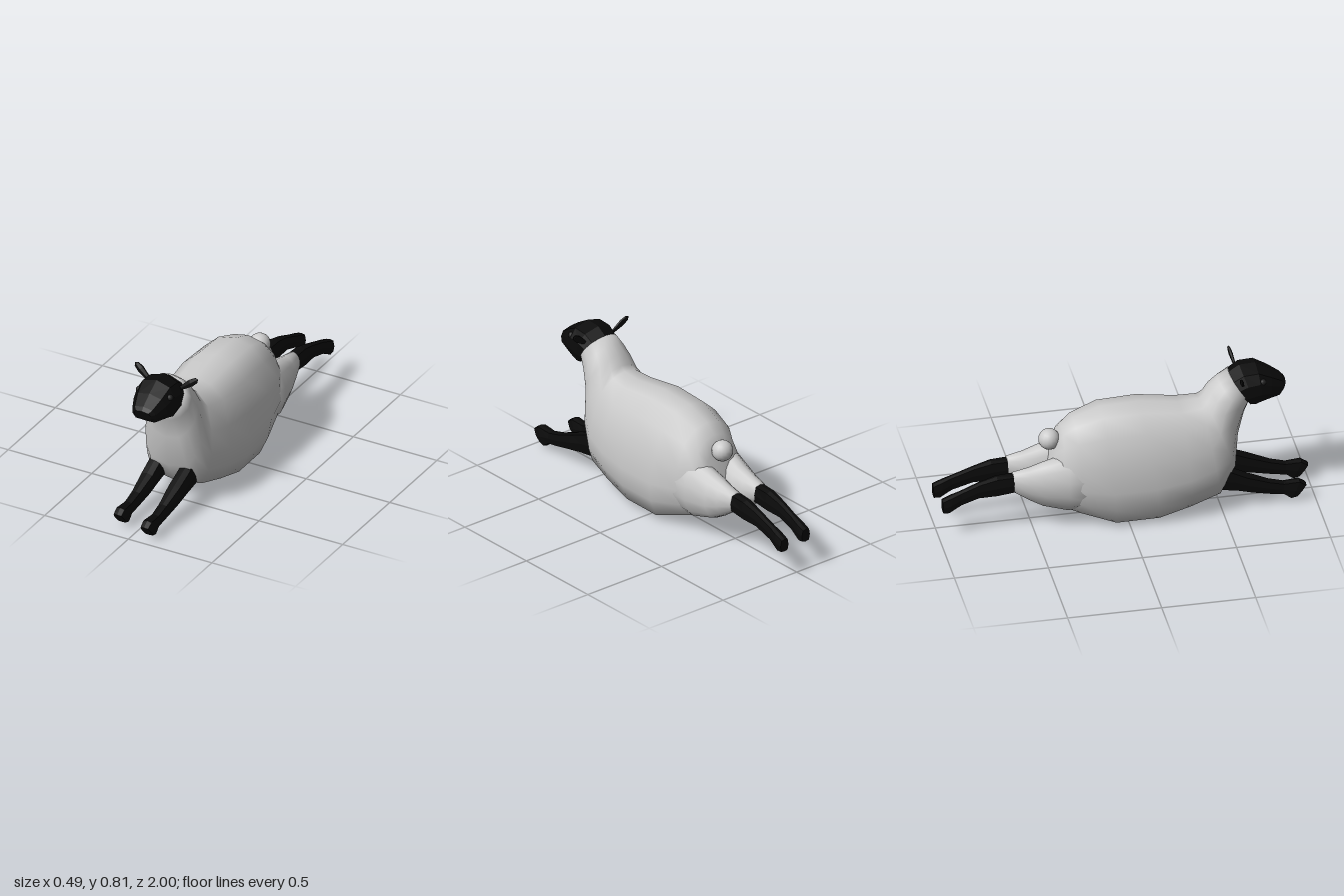
import * as THREE from 'three';

const wool = new THREE.MeshStandardMaterial({ color: 0xcccccc });
const black = new THREE.MeshStandardMaterial({ color: 0x0a0a0a, flatShading: true });
const eyeDark = new THREE.MeshStandardMaterial({ color: 0x222222 });

// Half outlines of a cross-section from bottom to top: [width fraction, height fraction]
const BARREL = [[0, 0], [0.76, 0.045], [0.94, 0.2], [1, 0.37], [0.93, 0.6], [0.75, 0.85], [0.4, 0.97], [0, 1]];
const ROUND = [[0, 0], [0.38, 0.04], [0.71, 0.15], [0.97, 0.37], [0.97, 0.63], [0.71, 0.85], [0.38, 0.96], [0, 1]];
const SKULL = [[0, 0], [0.78, 0.02], [1, 0.3], [0.98, 0.62], [0.72, 0.88], [0, 1]];
const LEG = [[0, 0], [0.8, 0.06], [1, 0.5], [0.75, 0.94], [0, 1]];

// Skin over sections listed from back to front:
// [centre x, half width, bottom z, bottom y, top z, top y, blend from outline A to B]
function loft(sections, outlineA, outlineB = outlineA) {
  const pos = [], index = [];
  const half = outlineA.length, n = 2 * half - 2;
  for (const [x, w, bz, by, tz, ty, blend = 0] of sections) {
    for (let j = 0; j < n; j++) {
      const k = j < half ? j : n - j, side = j < half ? 1 : -1;
      const u = THREE.MathUtils.lerp(outlineA[k][0], outlineB[k][0], blend);
      const v = THREE.MathUtils.lerp(outlineA[k][1], outlineB[k][1], blend);
      pos.push(x + side * w * u, by + (ty - by) * v, bz + (tz - bz) * v);
    }
  }
  for (let i = 0; i < sections.length - 1; i++) {
    for (let j = 0; j < n; j++) {
      const a = i * n + j, b = i * n + (j + 1) % n;
      index.push(a, b, b + n, a, b + n, a + n);
    }
  }
  // End caps
  for (const last of [false, true]) {
    const [x, , bz, by, tz, ty] = sections[last ? sections.length - 1 : 0];
    const base = last ? (sections.length - 1) * n : 0, c = pos.length / 3;
    pos.push(x, (by + ty) / 2, (bz + tz) / 2);
    for (let j = 0; j < n; j++) {
      const a = base + j, b = base + (j + 1) % n;
      index.push(c, last ? a : b, last ? b : a);
    }
  }
  const g = new THREE.BufferGeometry();
  g.setAttribute('position', new THREE.Float32BufferAttribute(pos, 3));
  g.setIndex(index);
  g.computeVertexNormals();
  return g;
}

export function createModel() {
  const model = new THREE.Group();
  model.name = 'sheep';
  const add = (name, geometry, material, x = 0, y = 0, z = 0) => {
    const mesh = new THREE.Mesh(geometry, material);
    mesh.name = name;
    mesh.position.set(x, y, z);
    model.add(mesh);
    return mesh;
  };

  // Woolly body sweeping up into the neck
  add('body', loft([
    [0, 0.11, -0.45, 0.16, -0.36, 0.48, 0.8],
    [0, 0.16, -0.38, 0.11, -0.33, 0.545, 0.5],
    [0, 0.205, -0.25, 0.065, -0.27, 0.592, 0.2],
    [0, 0.24, -0.07, 0.005, -0.13, 0.645],
    [0, 0.246, 0.16, 0.01, 0.08, 0.652],
    [0, 0.228, 0.33, 0.055, 0.29, 0.622],
    [0, 0.195, 0.49, 0.10, 0.40, 0.627],
    [0, 0.168, 0.58, 0.24, 0.425, 0.65, 0.3],
    [0, 0.145, 0.60, 0.42, 0.455, 0.70, 0.7],
    [0, 0.13, 0.635, 0.54, 0.50, 0.74, 1],
    [0, 0.115, 0.665, 0.61, 0.555, 0.777, 1],
  ], BARREL, ROUND), wool);

  add('tail', new THREE.SphereGeometry(0.057, 16, 12), wool, 0, 0.478, -0.395);

  // Faceted head with muzzle
  add('head', loft([
    [0, 0.108, 0.66, 0.607, 0.555, 0.768],
    [0, 0.115, 0.685, 0.607, 0.615, 0.808],
    [0, 0.113, 0.72, 0.62, 0.70, 0.812],
    [0, 0.098, 0.765, 0.627, 0.775, 0.768],
    [0, 0.072, 0.82, 0.63, 0.84, 0.722],
    [0, 0.05, 0.838, 0.65, 0.857, 0.702],
  ], SKULL), black);

  const earProfile = [[0.01, 0], [0.016, 0.03], [0.022, 0.075], [0.016, 0.11], [0, 0.122]]
    .map(([r, h]) => new THREE.Vector2(r, h));

  for (const s of [1, -1]) {
    const side = s > 0 ? 'left' : 'right';

    add(side + 'Eye', new THREE.SphereGeometry(0.019, 12, 8), eyeDark, s * 0.09, 0.742, 0.722);

    const ear = add(side + 'Ear', new THREE.LatheGeometry(earProfile, 6), black, s * 0.09, 0.742, 0.612);
    ear.rotation.set(-0.25, 0, -s * 0.92);
    ear.scale.z = 0.5;

    // Haunch stretched backwards
    add(side + 'Haunch', loft([
      [s * 0.082, 0.043, -0.6, 0.23, -0.605, 0.345],
      [s * 0.084, 0.064, -0.52, 0.175, -0.52, 0.362],
      [s * 0.086, 0.082, -0.45, 0.135, -0.45, 0.385],
      [s * 0.098, 0.1, -0.32, 0.1, -0.32, 0.428],
      [s * 0.105, 0.105, -0.18, 0.12, -0.2, 0.42],
    ], ROUND), wool);

    // Back leg, one hoof trailing a little further
    const b = s > 0 ? 0 : 0.018;
    add(side + 'BackLeg', loft([
      [s * 0.08, 0.027, -0.995 + b, 0.15, -0.998 + b, 0.222],
      [s * 0.08, 0.029, -0.965 + b, 0.147, -0.945 + b, 0.245],
      [s * 0.08, 0.023, -0.90 + b, 0.185, -0.90 + b, 0.262],
      [s * 0.08, 0.026, -0.79, 0.218, -0.78, 0.304],
      [s * 0.08, 0.034, -0.69, 0.222, -0.69, 0.33],
      [s * 0.08, 0.038, -0.58, 0.238, -0.58, 0.335],
    ], LEG), black);

    // Front leg, one hoof reaching a little further
    const f = s > 0 ? 0 : -0.048;
    add(side + 'FrontLeg', loft([
      [s * 0.094, 0.038, 0.5, 0.12, 0.46, 0.25],
      [s * 0.094, 0.043, 0.62 + f / 2, 0.105, 0.56 + f / 2, 0.24],
      [s * 0.094, 0.043, 0.71 + f, 0.088, 0.68 + f, 0.19],
      [s * 0.094, 0.03, 0.82 + f, 0.06, 0.80 + f, 0.14],
      [s * 0.094, 0.027, 0.88 + f, 0.05, 0.88 + f, 0.118],
      [s * 0.094, 0.032, 0.915 + f, 0.022, 0.965 + f, 0.125],
      [s * 0.094, 0.03, 0.945 + f, 0.03, 1.0 + f, 0.1],
    ], LEG), black);
  }
  return model;
}
